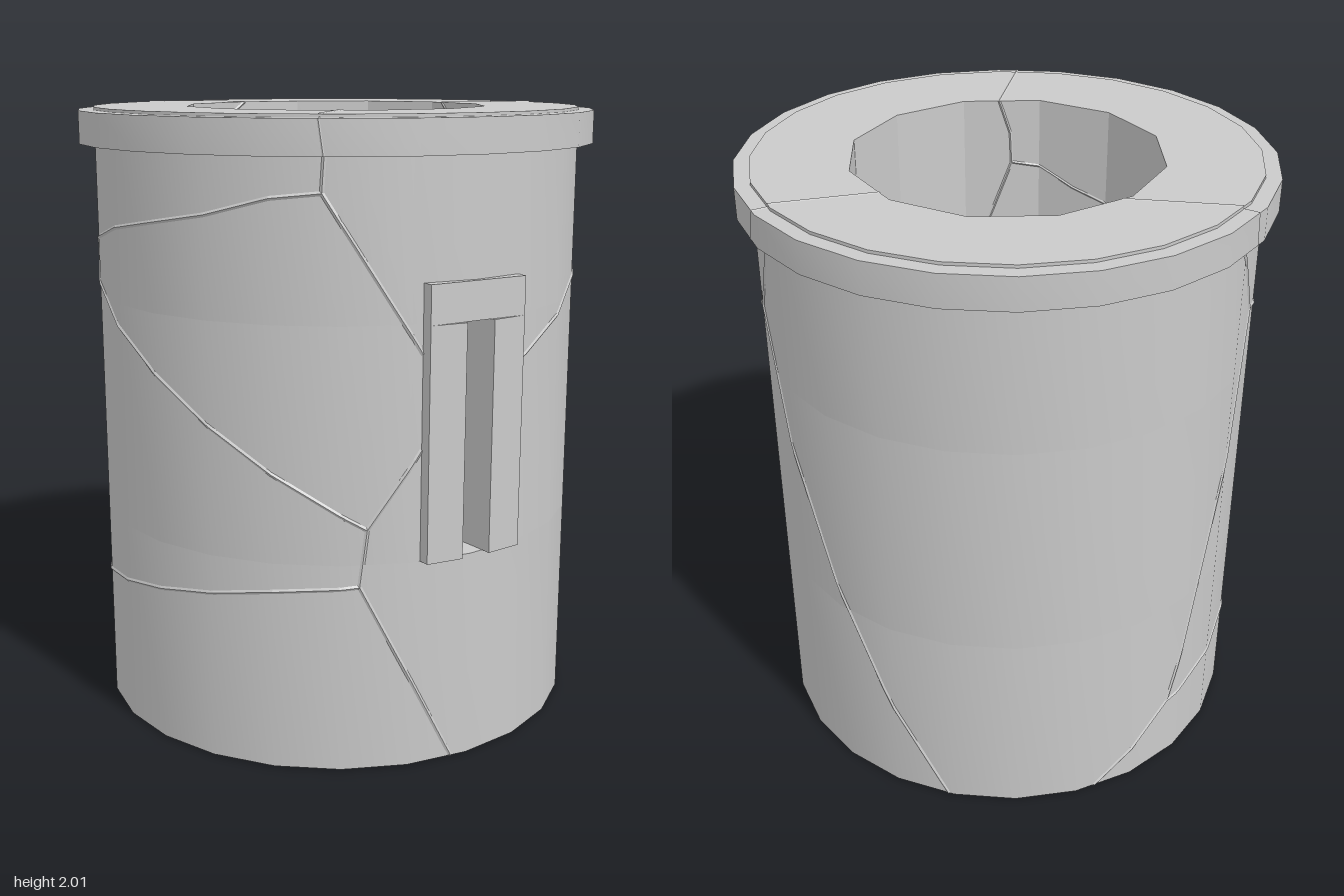
import * as THREE from 'three';
import { toCreasedNormals } from 'three/addons/utils/BufferGeometryUtils.js';

const stone = new THREE.MeshStandardMaterial({ color: 0xcacaca, side: THREE.DoubleSide });
stone.name = 'grey stone';

const rad = THREE.MathUtils.degToRad;
// angle runs from the front (+z) towards +x
const polar = (deg, r) => [r * Math.sin(rad(deg)), r * Math.cos(rad(deg))];
const ngon = (n, r, start = 0) =>
  Array.from({ length: n }, (_, i) => polar(start + (i * 360) / n, r));
// radius of a regular polygon's edge at a given angle
function edgeRadius(deg, n, r, start) {
  const step = 360 / n;
  const a = ((((deg - start) % step) + step) % step) - step / 2;
  return (r * Math.cos(rad(step / 2))) / Math.cos(rad(a));
}
const outerR = (deg) => edgeRadius(deg, 24, 0.8, 0);
const innerR = (deg) => edgeRadius(deg, 12, 0.5, 15);
const collarR = (deg) => edgeRadius(deg, 24, 0.85, 0);

// upright prism from an (x, z) outline
function prism(name, outline, y0, y1, hole) {
  const toVec = ([x, z]) => new THREE.Vector2(x, -z);
  const shape = new THREE.Shape(outline.map(toVec));
  if (hole) shape.holes.push(new THREE.Path(hole.map(toVec)));
  const geo = new THREE.ExtrudeGeometry(shape, { depth: y1 - y0, bevelEnabled: false });
  geo.rotateX(-Math.PI / 2).translate(0, y0, 0);
  const mesh = new THREE.Mesh(toCreasedNormals(geo, rad(20)), stone);
  mesh.name = name;
  return mesh;
}

// fine two-sided bead through cross-sections of three points: edge, crest, edge
function bead(name, sections) {
  const index = [];
  for (let i = 0; i < sections.length - 1; i++) {
    for (let k = 0; k < 2; k++) {
      const a = i * 3 + k;
      index.push(a, a + 1, a + 3, a + 1, a + 4, a + 3);
    }
  }
  const base = new THREE.BufferGeometry();
  base.setAttribute('position', new THREE.Float32BufferAttribute(sections.flat(2), 3));
  base.setIndex(index);
  const geo = base.toNonIndexed();
  geo.computeVertexNormals();
  const mesh = new THREE.Mesh(geo, stone);
  mesh.name = name;
  return mesh;
}

// crack along a wall, through (angle, height) points; lift is outward or inward
function wallCrack(name, path, radius, lift, width) {
  const sections = [];
  for (let i = 0; i < path.length - 1; i++) {
    const [a0, y0] = path[i];
    const [a1, y1] = path[i + 1];
    const steps = Math.max(2, Math.ceil(Math.abs(a1 - a0) / 1.5));
    const r = radius(a0);
    const du = rad(a1 - a0) * r;
    const dy = y1 - y0;
    const len = Math.hypot(du, dy);
    for (let s = 0; s <= steps; s++) {
      const a = a0 + ((a1 - a0) * s) / steps;
      const y = y0 + (dy * s) / steps;
      sections.push([-1, 0, 1].map((side) => {
        const h = (side * width) / 2;
        const ang = a + THREE.MathUtils.radToDeg(((-dy / len) * h) / r);
        const [x, z] = polar(ang, radius(ang) + lift * (side ? 0.1 : 1));
        return [x, THREE.MathUtils.clamp(y + (du / len) * h, 0.001, 1.999), z];
      }));
    }
  }
  return bead(name, sections);
}

// straight crack on the top or bottom ring, between (x, z) points
function flatCrack(name, [x0, z0], [x1, z1], y, rise, width) {
  const len = Math.hypot(x1 - x0, z1 - z0);
  const nx = ((z0 - z1) / len) * width / 2;
  const nz = ((x1 - x0) / len) * width / 2;
  return bead(name, [[x0, z0], [x1, z1]].map(([x, z]) =>
    [-1, 0, 1].map((side) =>
      [x + side * nx, y + rise * (side ? 0.1 : 1), z + side * nz])));
}

export function createModel() {
  const model = new THREE.Group();
  model.name = 'crackedTube';

  // hollow body, the middle layer notched by the front slot
  const outer = ngon(24, 0.8);
  const bore = ngon(12, 0.5, 15);
  const notch = [[-0.05, 0.793], [-0.03, 0.55], [0.03, 0.55], [0.05, 0.793]];
  model.add(
    prism('bodyBottom', outer, 0, 0.67, bore),
    prism('bodyMiddle', [...notch, ...outer.slice(1)], 0.67, 1.4, bore),
    prism('bodyTop', outer, 1.4, 2, bore),
  );

  // collar just below the top face
  model.add(prism('collar', ngon(24, 0.85), 1.885, 1.99, ngon(24, 0.79)));

  // slotted plate on the front
  model.add(prism('plateTop',
    [[-0.172, 0.775], [0.172, 0.775], [0.172, 0.815], [-0.172, 0.815]], 1.4, 1.52));
  for (const s of [-1, 1]) {
    const half = [[0.172, 0.775], [0.172, 0.815], [0.05, 0.828], [0.048, 0.775]];
    model.add(prism(s < 0 ? 'plateRight' : 'plateLeft',
      half.map(([x, z]) => [s * x, z]), 0.67, 1.4));
  }

  // cracks running through the wall, as (angle, height)
  const cracks = [
    [[-12.5, 1.31], [-34, 1.78], [-45, 1.765], [-60, 1.71], [-77, 1.67], [-90, 1.64], [-118.7, 1.54]],
    [[-34, 1.78], [-33.5, 1.885]],
    [[-12.5, 1.02], [-24.4, 0.78], [-26, 0.6], [-45, 0.58], [-68, 0.53], [-90, 0.48],
      [-109, 0.44], [-134.5, 0.34], [-168.6, 0.24]],
    [[-24.4, 0.78], [-45, 0.95], [-61, 1.09], [-77, 1.23], [-90, 1.33], [-118.7, 1.54], [-139.5, 1.58]],
    [[-26, 0.6], [-4, 0]],
    [[12.5, 1.25], [30, 1.36], [45, 1.46], [60, 1.53], [76, 1.6]],
    [[76, 1.6], [85, 1.885]],
    [[76, 1.6], [89.3, 1.2], [103, 0.8], [117, 0.4], [133.5, 0]],
    [[-139.5, 1.58], [-153, 1.885]],
    [[-139.5, 1.58], [-168.6, 0.24], [-190, 0]],
  ];
  for (const path of cracks) {
    model.add(wallCrack('outerCrack', path, outerR, 0.005, 0.014));
    model.add(wallCrack('innerCrack', path, innerR, -0.004, 0.01));
  }
  model.add(wallCrack('innerCrack', [[-12.5, 1.31], [12.5, 1.25]], innerR, -0.004, 0.01));

  // three cracks across the collar and the top ring
  const topCracks = [
    [-33.5, -34.5, -29],
    [85, 88, 98],
    [-153, -153.5, -169.5],
  ];
  for (const [low, high, inner] of topCracks) {
    model.add(wallCrack('collarCrack', [[low, 1.885], [high, 1.99]], collarR, 0.002, 0.008));
    model.add(wallCrack('innerCrack', [[low, 1.885], [inner, 2]], innerR, -0.004, 0.01));
    model.add(flatCrack('topCrack', polar(inner, innerR(inner)),
      polar(high, outerR(high)), 2, 0.003, 0.01));
    model.add(flatCrack('collarTopCrack', polar(high, outerR(high)),
      polar(high, collarR(high)), 1.99, 0.003, 0.01));
  }

  // cracks across the bottom ring
  for (const [from, to] of [[-4, 6], [133.5, 146], [170, 146]]) {
    model.add(flatCrack('bottomCrack', polar(to, innerR(to)),
      polar(from, outerR(from)), 0, -0.003, 0.012));
  }
  return model;
}
